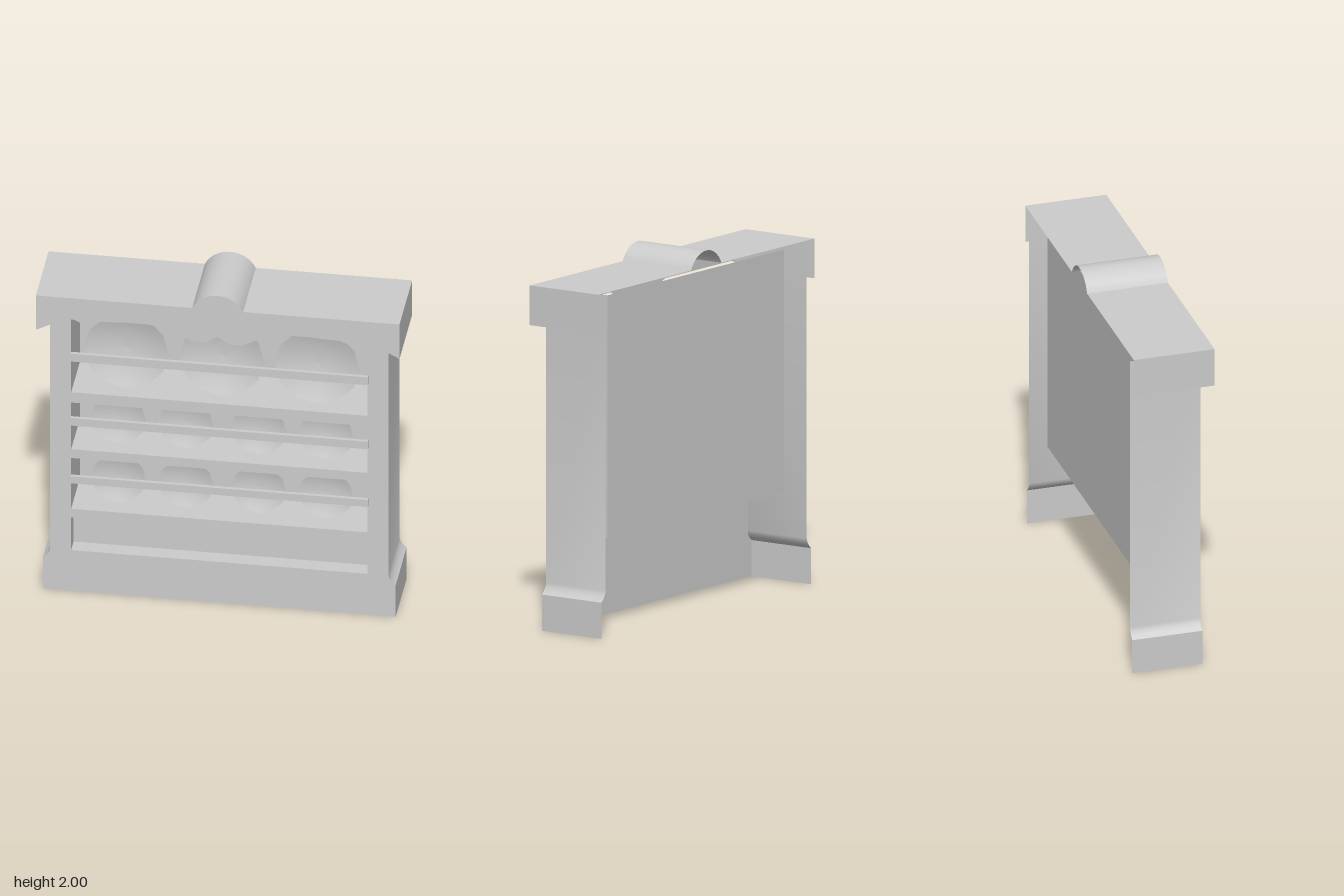
import * as THREE from 'three';
import { toCreasedNormals } from 'three/addons/utils/BufferGeometryUtils.js';

const BACK = -0.23, FACE = 0.17, CROWN = 0.23, POCKET = -0.16;
const HALF = 0.815; // half width of the openings

export function createModel() {
  const group = new THREE.Group();
  const mat = new THREE.MeshStandardMaterial({ color: 0xcccccc, side: THREE.DoubleSide });

  const add = (name, geo, x = 0, y = 0, z = 0) => {
    const mesh = new THREE.Mesh(geo, mat);
    mesh.name = name;
    mesh.position.set(x, y, z);
    group.add(mesh);
    return mesh;
  };
  const box = (name, x0, x1, y0, y1, z0, z1) =>
    add(name, new THREE.BoxGeometry(x1 - x0, y1 - y0, z1 - z0), (x0 + x1) / 2, (y0 + y1) / 2, (z0 + z1) / 2);

  // Thin wall following an outline in x/y, running from z0 to z1
  const wall = (name, pts, z0, z1) => {
    const geo = new THREE.PlaneGeometry(1, 1, pts.length - 1, 1);
    const pos = geo.attributes.position;
    for (let i = 0; i < pos.count; i++) {
      const [x, y] = pts[i % pts.length];
      pos.setXYZ(i, x, y, i < pts.length ? z0 : z1);
    }
    add(name, toCreasedNormals(geo, 0.6));
  };
  const shapeOf = pts => new THREE.Shape(pts.map(([x, y]) => new THREE.Vector2(x, y)));
  const mirror = pts => pts.map(([x, y]) => [-x, y]).reverse();

  // Body: front frame with four openings and side walls flaring into a plinth
  const side = [[0.93, 1.87], [0.93, 0.26], [0.936, 0.24], [0.95, 0.218], [0.97, 0.2], [0.97, 0]];
  const frame = shapeOf([...side, ...mirror(side)]);
  const openings = [[0.26, 0.47], [0.525, 0.85], [0.905, 1.205], [1.27, 1.775]];
  for (const [y0, y1] of openings) {
    frame.holes.push(shapeOf([[-HALF, y0], [-HALF, y1], [HALF, y1], [HALF, y0]]));
  }
  add('frontFrame', new THREE.ShapeGeometry(frame), 0, 0, FACE);
  wall('leftSide', side, FACE, BACK);
  wall('rightSide', mirror(side), FACE, BACK);

  // Open-topped compartment behind the shelf openings
  wall('shelfCompartment', [[-HALF, 1.87], [-HALF, 0.525], [HALF, 0.525], [HALF, 1.87]], FACE, POCKET);
  add('backPanel', new THREE.PlaneGeometry(2 * HALF, 1.345), 0, 1.1975, POCKET);
  for (const [y0, y1] of [[0.85, 0.905], [1.205, 1.27]]) {
    box('shelf', -HALF, HALF, y0, y1, POCKET + 0.002, FACE - 0.002);
  }

  // Shallow recess below the shelves
  wall('lowerRecess', [[-HALF, 0.47], [-HALF, 0.26], [HALF, 0.26], [HALF, 0.47], [-HALF, 0.47]], FACE, 0.08);
  add('lowerRecessBack', new THREE.PlaneGeometry(2 * HALF, 0.21), 0, 0.365, 0.08);

  // Retaining bars across the plates
  for (const [y0, y1] of [[0.7, 0.745], [1.07, 1.118], [1.48, 1.53]]) {
    box('plateBar', -HALF, 0.82, y0, y1, FACE, 0.19);
  }

  // Plates: shallow dishes with the hollow facing forward
  const plate = (x, y, r) => {
    const profile = [0, 0.25, 0.5, 0.75, 1].map(t => new THREE.Vector2(r * t, 0.2 * r * t * t));
    const geo = new THREE.LatheGeometry(profile, 12);
    geo.rotateX(Math.PI / 2);
    add('plate', geo, x, y, 0.03).rotation.x = -0.04;
  };
  for (const x of [-0.525, 0, 0.525]) plate(x, 1.502, 0.233);
  for (const y of [0.676, 1.055]) {
    for (const x of [-0.57, -0.2, 0.2, 0.57]) plate(x, y, 0.151);
  }

  // Crown: scalloped front board, with a top that rises into a central arch
  const arch = [];
  const radius = 0.154, spread = Math.asin(0.14 / radius);
  for (let i = 0; i <= 16; i++) {
    const a = spread * (1 - i / 8);
    arch.push([radius * Math.sin(a), 1.846 + radius * Math.cos(a)]);
  }
  const top = [[1, 1.69], [1, 1.91], ...arch, [-1, 1.91], [-1, 1.69]];
  const scallop = [
    [-0.9, 1.742], [-0.83, 1.772], [-0.79, 1.774], [-0.76, 1.76], [-0.73, 1.757], [-0.7, 1.762],
    [-0.67, 1.774], [-0.6, 1.776], [-0.5, 1.782], [-0.4, 1.782], [-0.32, 1.775], [-0.25, 1.755],
    [-0.19, 1.722], [-0.14, 1.697], [-0.1, 1.691], [-0.06, 1.698], [-0.03, 1.718],
  ];
  add('crownFront', new THREE.ShapeGeometry(shapeOf([...top, ...scallop, [0, 1.74], ...mirror(scallop)])), 0, 0, CROWN);
  wall('crownTop', top, CROWN, BACK);

  return group;
}
